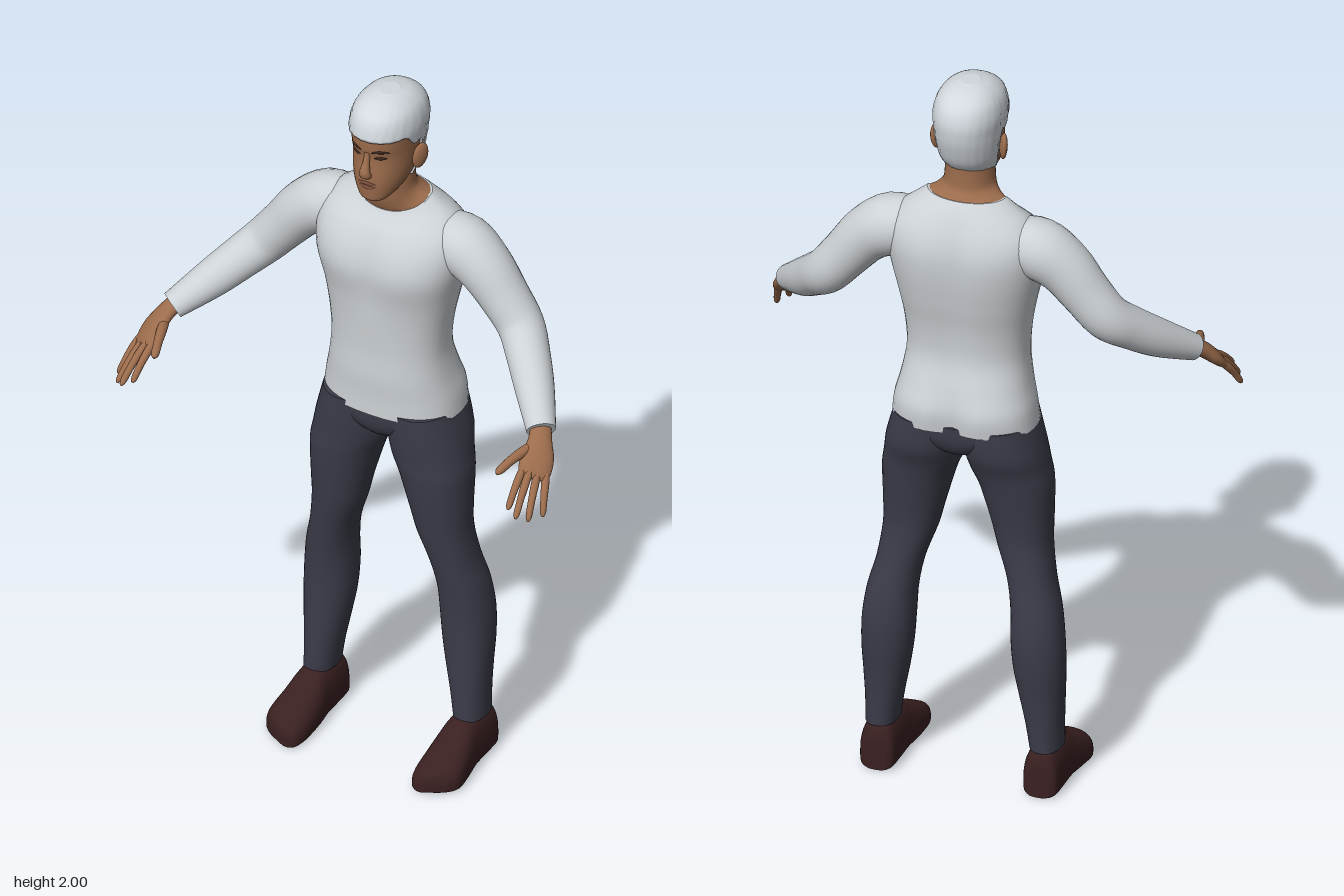
import * as THREE from 'three';

const mat = (name, color) => Object.assign(new THREE.MeshStandardMaterial({ color }), { name });
const N = 40; // points around a cross-section

// Catmull-Rom interpolation of rows of numbers
function smooth(rows, n = 4) {
  const out = [];
  const at = (i) => rows[Math.max(0, Math.min(rows.length - 1, i))];
  for (let i = 0; i < rows.length - 1; i++) {
    for (let j = 0; j < n; j++) {
      const t = j / n;
      out.push(rows[i].map((b, c) => {
        const a = at(i - 1)[c], d = at(i + 1)[c], e = at(i + 2)[c];
        return b + 0.5 * t * (d - a + t * (2 * a - 5 * b + 4 * d - e + t * (3 * (b - d) + e - a)));
      }));
    }
  }
  out.push(rows[rows.length - 1]);
  return out;
}

// Skin a list of closed rings, cap both ends, and face everything outward
function skin(rings) {
  const n = rings[0].length, pos = [], idx = [];
  rings.forEach((r) => r.forEach((p) => pos.push(p.x, p.y, p.z)));
  for (let i = 0; i < rings.length - 1; i++) {
    for (let j = 0; j < n; j++) {
      const k = (j + 1) % n, a = i * n + j, b = i * n + k;
      idx.push(a, a + n, b, b, a + n, b + n);
    }
  }
  [rings[0], rings[rings.length - 1]].forEach((r, e) => {
    const base = pos.length / 3, c = new THREE.Vector3();
    r.forEach((p) => { pos.push(p.x, p.y, p.z); c.addScaledVector(p, 1 / n); });
    pos.push(c.x, c.y, c.z);
    for (let j = 0; j < n; j++) {
      const a = base + j, b = base + (j + 1) % n;
      if (e) idx.push(a, base + n, b); else idx.push(a, b, base + n);
    }
  });
  // signed volume decides the winding
  let vol = 0;
  const v = (i) => new THREE.Vector3().fromArray(pos, i * 3);
  for (let i = 0; i < idx.length; i += 3) vol += v(idx[i]).dot(v(idx[i + 1]).cross(v(idx[i + 2])));
  if (vol < 0) idx.reverse();
  const g = new THREE.BufferGeometry();
  g.setAttribute('position', new THREE.Float32BufferAttribute(pos, 3));
  g.setIndex(idx);
  g.computeVertexNormals();
  return g;
}

const pw = (v, e) => Math.sign(v) * Math.abs(v) ** e;

// Horizontal section; row = y, centre x, half width, front z, back z, power, front groove, back groove, front dip
function section([y, xc, hw, zf, zb, p = 2.2, kf = 0, kb = 0, dip = 0], a) {
  const s = pw(Math.sin(a), 2 / p), x = hw * pw(Math.cos(a), 2 / p);
  const groove = Math.exp(-((x / 0.035) ** 2)) * (s > 0 ? -kf : kb);
  return new THREE.Vector3(xc + x, y - dip * Math.max(0, s), (zf + zb) / 2 + s * (zf - zb) / 2 + groove);
}
const around = (f, n = N) => Array.from({ length: n }, (_, j) => f((j / n) * Math.PI * 2));
const loft = (rows) => skin(smooth(rows).map((r) => around((a) => section(r, a))));

// Limb along a path; row = x, y, z, half width, half thickness
function limb(rows, side, n = 20) {
  const r = smooth(rows), P = r.map((q) => new THREE.Vector3(...q));
  return skin(r.map((q, i) => {
    const t = P[Math.min(i + 1, P.length - 1)].clone().sub(P[Math.max(i - 1, 0)]).normalize();
    const u = side.clone().addScaledVector(t, -side.dot(t)).normalize();
    const w = t.clone().cross(u);
    return around((a) => P[i].clone().addScaledVector(u, q[3] * Math.cos(a)).addScaledVector(w, q[4] * Math.sin(a)), n);
  }));
}

// Head sections
const HEAD = smooth([
  [1.712, 0, 0.02, 0.0, -0.04, 2.2], [1.72, 0, 0.038, 0.011, -0.07, 2.2],
  [1.74, 0, 0.055, 0.015, -0.115, 2.2], [1.77, 0, 0.069, 0.018, -0.16, 2.2],
  [1.8, 0, 0.076, 0.018, -0.185, 2.2], [1.85, 0, 0.081, 0.015, -0.205, 2.2],
  [1.88, 0, 0.083, 0.02, -0.212, 2.2], [1.92, 0, 0.085, 0.019, -0.214, 2.2],
  [1.96, 0, 0.074, 0.003, -0.198, 2.2], [1.985, 0, 0.048, -0.035, -0.162, 2.2],
  [1.995, 0, 0.018, -0.075, -0.12, 2.2]], 6);
function headRow(y) {
  let i = 1;
  while (i < HEAD.length - 1 && HEAD[i][0] < y) i++;
  const a = HEAD[i - 1], b = HEAD[i], t = THREE.MathUtils.clamp((y - a[0]) / (b[0] - a[0]), 0, 1);
  return a.map((v, c) => v + (b[c] - v) * t);
}
function faceZ(x, y) {
  const r = headRow(y);
  return section(r, Math.acos((Math.abs(x) / r[2]) ** 1.1)).z;
}

// Close-cropped hair: low at the nape, over the ears, straight across the forehead
function hairGeometry() {
  const rings = [];
  for (let i = 0; i <= 26; i++) {
    const t = Math.max(0, i - 1) / 25;
    rings.push(around((a) => {
      const s = Math.sin(a), ss = THREE.MathUtils.smoothstep;
      const edge = 1.76 + 0.11 * ss(s, -0.3, -0.12) + 0.038 * ss(s, 0.1, 0.45);
      const y = edge + (1.995 - edge) * Math.sin(t * Math.PI / 2);
      const tuft = 0.0015 * Math.sin(a * 17 + i * 2.1) * Math.sin(a * 7 - i * 1.7);
      const r = headRow(y), o = i === 0 ? -0.003 : 0.006 + tuft * (1 - t);
      r[2] += o; r[3] += o; r[4] -= o;
      r[0] = y + 0.005 * t;
      return section(r, a);
    }, 64));
  }
  return skin(rings);
}

export function createModel() {
  const model = new THREE.Group();
  const skinM = mat('skin', 0x9c6c4c), shirtM = mat('shirt', 0xcdd2d6), hairM = mat('hair', 0xd2d8de);
  const trouserM = mat('trousers', 0x3c3c4a), shoeM = mat('shoe', 0x3a2021);
  const browM = mat('brow', 0x3a261c), lipM = mat('lip', 0x80503f);
  const add = (name, geo, m, parent = model) => {
    const mesh = new THREE.Mesh(geo, m);
    mesh.name = name;
    parent.add(mesh);
    return mesh;
  };

  // Shirt body
  add('shirtBody', loft([
    [1.045, 0, 0.19, 0.0, -0.262, 2.4, 0, 0.022, 0], [1.1, 0, 0.183, 0.0, -0.266, 2.4, 0, 0.022, 0],
    [1.16, 0, 0.169, 0.003, -0.246, 2.4, 0, 0.012, 0], [1.236, 0, 0.159, 0.001, -0.222, 2.4, 0, 0.008, 0],
    [1.32, 0, 0.165, 0.004, -0.226, 2.4, 0, 0.01, 0], [1.4, 0, 0.18, 0.012, -0.242, 2.4, 0.006, 0.012, 0],
    [1.485, 0, 0.2, 0.026, -0.256, 2.4, 0.014, 0.014, 0], [1.55, 0, 0.207, 0.012, -0.258, 2.4, 0.01, 0.014, 0],
    [1.6, 0, 0.2, -0.015, -0.246, 2.3, 0.004, 0.01, 0], [1.64, 0, 0.17, -0.038, -0.226, 2.2, 0, 0.004, 0.014],
    [1.67, 0, 0.132, -0.05, -0.206, 2.1, 0, 0, 0.03], [1.69, 0, 0.105, -0.056, -0.19, 2, 0, 0, 0.04]]), shirtM);

  // Neck
  add('neck', loft([
    [1.688, 0, 0.103, -0.058, -0.188, 2, 0, 0, 0.04], [1.698, 0, 0.082, -0.048, -0.18, 2, 0, 0, 0.03],
    [1.715, 0, 0.068, -0.038, -0.17, 2, 0, 0, 0.015], [1.75, 0, 0.064, -0.035, -0.168, 2, 0, 0, 0],
    [1.79, 0, 0.062, -0.04, -0.168, 2, 0, 0, 0]]), skinM);

  // Head and hair
  const head = new THREE.Group();
  head.name = 'head';
  model.add(head);
  add('face', skin(HEAD.map((r) => around((a) => section(r, a)))), skinM, head);
  add('hair', hairGeometry(), hairM, head);
  const X = new THREE.Vector3(1, 0, 0), Y = new THREE.Vector3(0, 1, 0);
  add('nose', limb([[0, 1.868, 0.012, 0.008, 0.008], [0, 1.84, 0.019, 0.009, 0.009],
    [0, 1.812, 0.027, 0.015, 0.013], [0, 1.8, 0.02, 0.016, 0.01], [0, 1.795, 0.014, 0.008, 0.005]], X), skinM, head);

  // Line of a facial feature lying on the face
  const faceLine = (name, x0, x1, y, arch, h, m) => add(name, limb([0, 0.25, 0.5, 0.75, 1].map((t) => {
    const x = x0 + (x1 - x0) * t, yy = y + arch * Math.sin(t * Math.PI);
    const f = 0.25 + 0.75 * Math.sin(t * Math.PI);
    return [x, yy, faceZ(x, yy), h * f, 0.003 * f];
  }), Y, 12), m, head);
  faceLine('upperLip', -0.026, 0.026, 1.773, 0.002, 0.005, lipM);
  faceLine('lowerLip', -0.023, 0.023, 1.765, -0.003, 0.006, lipM);

  // Pelvis of the trousers
  add('trouserSeat', loft([[1.06, 0, 0.184, -0.005, -0.25, 2.4], [1.01, 0, 0.16, -0.008, -0.245, 2.3],
    [0.97, 0, 0.08, -0.03, -0.22, 2.2], [0.945, 0, 0.02, -0.08, -0.16, 2]]), trouserM);

  for (const s of [1, -1]) {
    const side = s > 0 ? 'left' : 'right';
    const flip = (rows) => rows.map(([x, ...r]) => [s * x, ...r]);

    // Brow, eye and ear
    faceLine(side + 'Brow', s * 0.014, s * 0.056, 1.872, 0.005, 0.004, browM);
    faceLine(side + 'Eye', s * 0.02, s * 0.049, 1.855, 0.001, 0.0045, browM);
    const ear = add(side + 'Ear', new THREE.SphereGeometry(1, 16, 12), skinM, head);
    ear.scale.set(0.01, 0.038, 0.023);
    ear.position.set(s * 0.089, 1.822, -0.1);
    ear.rotation.set(-0.15, -s * 0.45, -s * 0.12);

    // Sleeve
    add(side + 'Sleeve', limb(flip([
      [0.12, 1.575, -0.135, 0.065, 0.065], [0.195, 1.563, -0.135, 0.08, 0.08], [0.262, 1.52, -0.13, 0.073, 0.073],
      [0.32, 1.452, -0.127, 0.065, 0.065], [0.373, 1.388, -0.118, 0.061, 0.061], [0.42, 1.342, -0.075, 0.057, 0.056],
      [0.475, 1.29, -0.015, 0.051, 0.05], [0.542, 1.232, 0.066, 0.038, 0.035]]), new THREE.Vector3(s * 0.7, 0.1, -0.6), 28), shirtM);

    // Hand with four fingers and a thumb
    const hand = new THREE.Group();
    hand.name = side + 'Hand';
    model.add(hand);
    const across = new THREE.Vector3(s * 0.78, -0.1, -0.6);
    add('palm', limb(flip([[0.535, 1.24, 0.055, 0.027, 0.021], [0.552, 1.218, 0.088, 0.031, 0.02],
      [0.564, 1.19, 0.12, 0.042, 0.019], [0.571, 1.162, 0.15, 0.042, 0.015], [0.574, 1.15, 0.163, 0.03, 0.009]]), across), skinM, hand);
    [['indexFinger', 0.545, 1.166, 0.165, 0.552, 1.1, 0.25], ['middleFinger', 0.563, 1.163, 0.162, 0.58, 1.087, 0.26],
      ['ringFinger', 0.58, 1.158, 0.15, 0.604, 1.074, 0.238], ['littleFinger', 0.597, 1.154, 0.135, 0.624, 1.072, 0.198],
      ['thumb', 0.54, 1.205, 0.11, 0.503, 1.178, 0.225]].forEach(([name, x, y, z, X2, Y2, Z2]) => {
      const row = (t, r, lift = 0) => [x + (X2 - x) * t, y + (Y2 - y) * t + lift, z + (Z2 - z) * t, r, r];
      const w = name === 'thumb' ? 1.3 : 1;
      add(name, limb(flip([row(-0.15, 0.009 * w), row(0.25, 0.0105 * w, 0.006), row(0.6, 0.0092 * w, 0.007),
        row(0.9, 0.008 * w, 0.002), row(1, 0.003)]), across, 12), skinM, hand);
    });

    // Trouser leg: y, inner x, outer x, front z, back z
    add(side + 'TrouserLeg', loft([
      [1.06, 0.002, 0.184, -0.005, -0.25], [0.98, 0.001, 0.206, -0.008, -0.247], [0.92, 0.012, 0.217, -0.013, -0.225],
      [0.865, 0.035, 0.225, -0.016, -0.212], [0.76, 0.065, 0.224, -0.03, -0.194], [0.69, 0.083, 0.224, -0.04, -0.19],
      [0.6, 0.114, 0.236, -0.055, -0.2], [0.52, 0.128, 0.256, -0.068, -0.216], [0.44, 0.131, 0.267, -0.077, -0.225],
      [0.36, 0.137, 0.27, -0.08, -0.221], [0.28, 0.15, 0.267, -0.08, -0.21], [0.2, 0.166, 0.263, -0.079, -0.203],
      [0.125, 0.178, 0.262, -0.077, -0.2]].map(([y, a, b, f, k]) => [y, s * (a + b) / 2, (b - a) / 2, f, k, 2.2])), trouserM);

    // Shoe: z, inner x, outer x, height
    add(side + 'Shoe', skin(smooth([
      [-0.206, 0.188, 0.248, 0.09], [-0.192, 0.174, 0.264, 0.128], [-0.14, 0.17, 0.268, 0.136], [-0.08, 0.168, 0.27, 0.132],
      [-0.03, 0.162, 0.278, 0.105], [0.03, 0.16, 0.284, 0.077], [0.06, 0.163, 0.264, 0.063],
      [0.08, 0.17, 0.228, 0.05], [0.088, 0.182, 0.208, 0.03]]).map(([z, a, b, h]) => around((t) => {
      const c = pw(Math.cos(t), 0.75), v = Math.sin(t);
      // flat sole, rounded upper
      const y = v > 0 ? 0.3 * h + 0.7 * h * pw(v, 0.8) : 0.3 * h * (1 - pw(-v, 0.35));
      return new THREE.Vector3(s * ((a + b) / 2 + c * (b - a) / 2), y, z);
    }))), shoeM);
  }
  return model;
}
